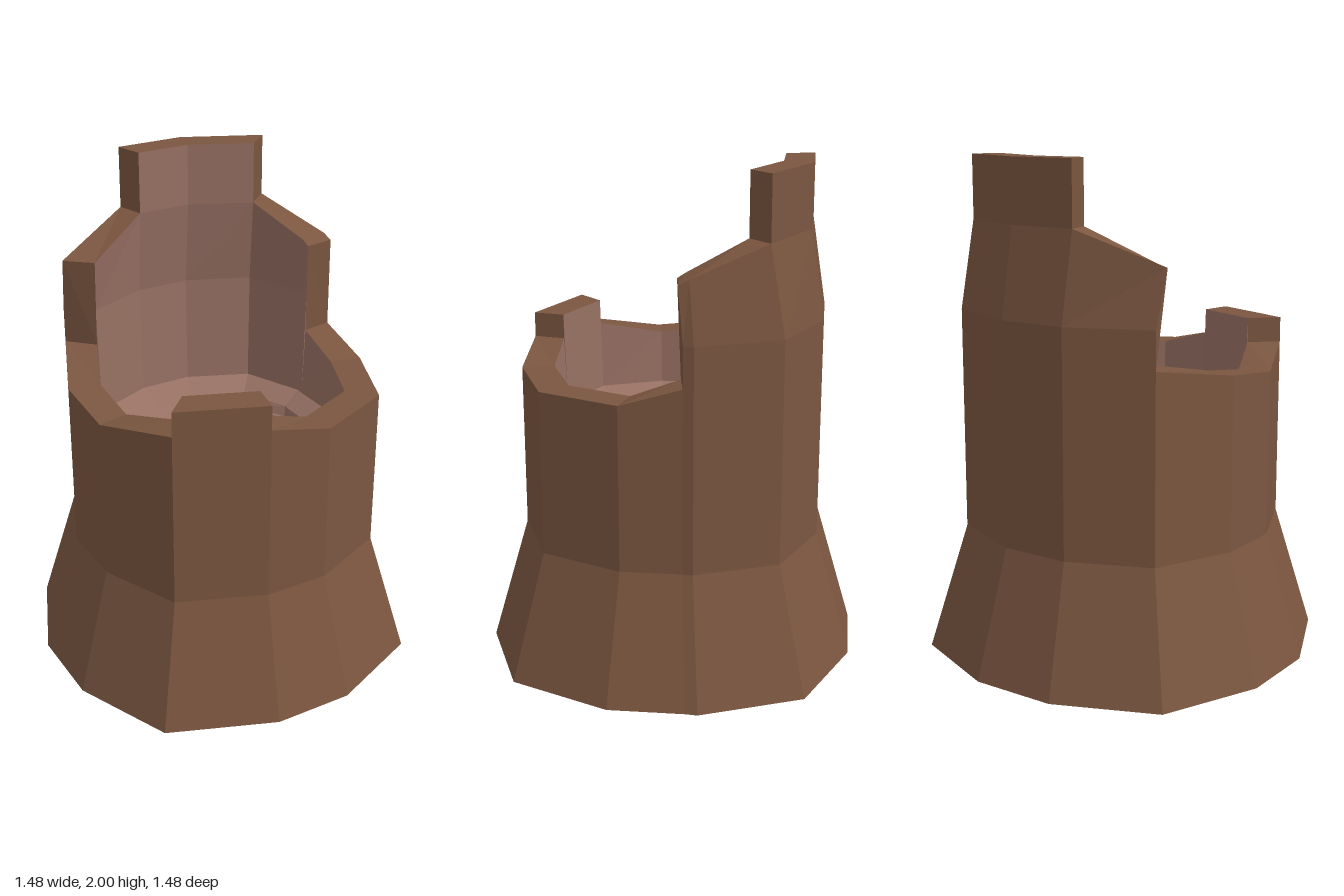
import * as THREE from 'three';

// Stations around the wall, seen from above, front to +x to back to -x:
// [x, z, top height, x and z at the top where the wall leans]
const STATIONS = [
  [-0.12, 0.595, 1.23], [0.14, 0.595, 1.17], [0.46, 0.46, 1.17], [0.595, 0.14, 1.17],
  [0.592, -0.1, 1.24], [0.592, -0.1, 1.62, 0.578, -0.08],   // right break
  [0.595, -0.14, 1.64, 0.57, -0.12],
  [0.46, -0.46, 1.75, 0.44, -0.4], [0.46, -0.46, 2, 0.44, -0.4],
  [0.14, -0.595, 2, 0.13, -0.54],
  [-0.14, -0.595, 2, -0.15, -0.54], [-0.14, -0.595, 1.75, -0.15, -0.54],
  [-0.46, -0.46, 1.62, -0.475, -0.41], [-0.46, -0.46, 1.25], // left break
  [-0.595, -0.14, 1.2], [-0.595, 0.14, 1.17],
  [-0.46, 0.46, 1.23], [-0.46, 0.46, 1.33], [-0.12, 0.595, 1.33], // front block
];
const INNER = 0.79; // inner face relative to the outer face

// Point on a station at a height, following the lean of the upper wall
function wallPoint([x, z, top, tx = x, tz = z], y, scale) {
  const h = Math.min(y, top);
  const end = Math.min(top, 1.75);
  const t = end > 1.4 ? THREE.MathUtils.clamp((h - 1.4) / (end - 1.4), 0, 1) : 0;
  return new THREE.Vector3(
    THREE.MathUtils.lerp(x, tx, t) * scale, h, THREE.MathUtils.lerp(z, tz, t) * scale);
}

// Joins neighbouring columns of points with flat faces, skipping empty ones
function skin(columns, name, color) {
  const pos = [];
  const tri = new THREE.Triangle();
  const face = (a, b, c) => {
    if (tri.set(a, b, c).getArea() > 1e-6) {
      for (const p of [a, b, c]) pos.push(p.x, p.y, p.z);
    }
  };
  columns.forEach((a, i) => {
    const b = columns[(i + 1) % columns.length];
    for (let r = 0; r < a.length - 1; r++) {
      face(a[r], b[r], b[r + 1]);
      face(a[r], b[r + 1], a[r + 1]);
    }
  });
  const geometry = new THREE.BufferGeometry();
  geometry.setAttribute('position', new THREE.Float32BufferAttribute(pos, 3));
  geometry.computeVertexNormals();
  const mesh = new THREE.Mesh(geometry,
    new THREE.MeshStandardMaterial({ color, flatShading: true }));
  mesh.name = name;
  return mesh;
}

export function createModel() {
  const group = new THREE.Group();
  group.name = 'hollowStump';

  // Underside, flared foot, outer wall and broken rim
  const outer = STATIONS.map((s) => [
    new THREE.Vector3(0, 0, 0),
    wallPoint(s, 0, 1.245),
    ...[0.51, 1.4, 1.75, 2].map((y) => wallPoint(s, y, 1)),
    wallPoint(s, 2, INNER),
  ]);
  group.add(skin(outer, 'outerWall', 0x7b5640));

  // Inner wall, then the stepped hollow down to its floor
  const steps = [[0.77, 0.77, 0.95], [0.64, 0.62, 0.9], [0.62, 0.52, 0.86],
    [0.53, 0.42, 0.84], [0.5, 0.35, 0.8], [0, 0, 0.8]];
  const inner = STATIONS.map((s) => [
    ...[2, 1.75, 1.4].map((y) => wallPoint(s, y, INNER)),
    ...steps.map(([sx, sz, y]) => new THREE.Vector3(s[0] * sx, y, s[1] * sz)),
  ]);
  group.add(skin(inner, 'innerHollow', 0x977063));
  return group;
}
